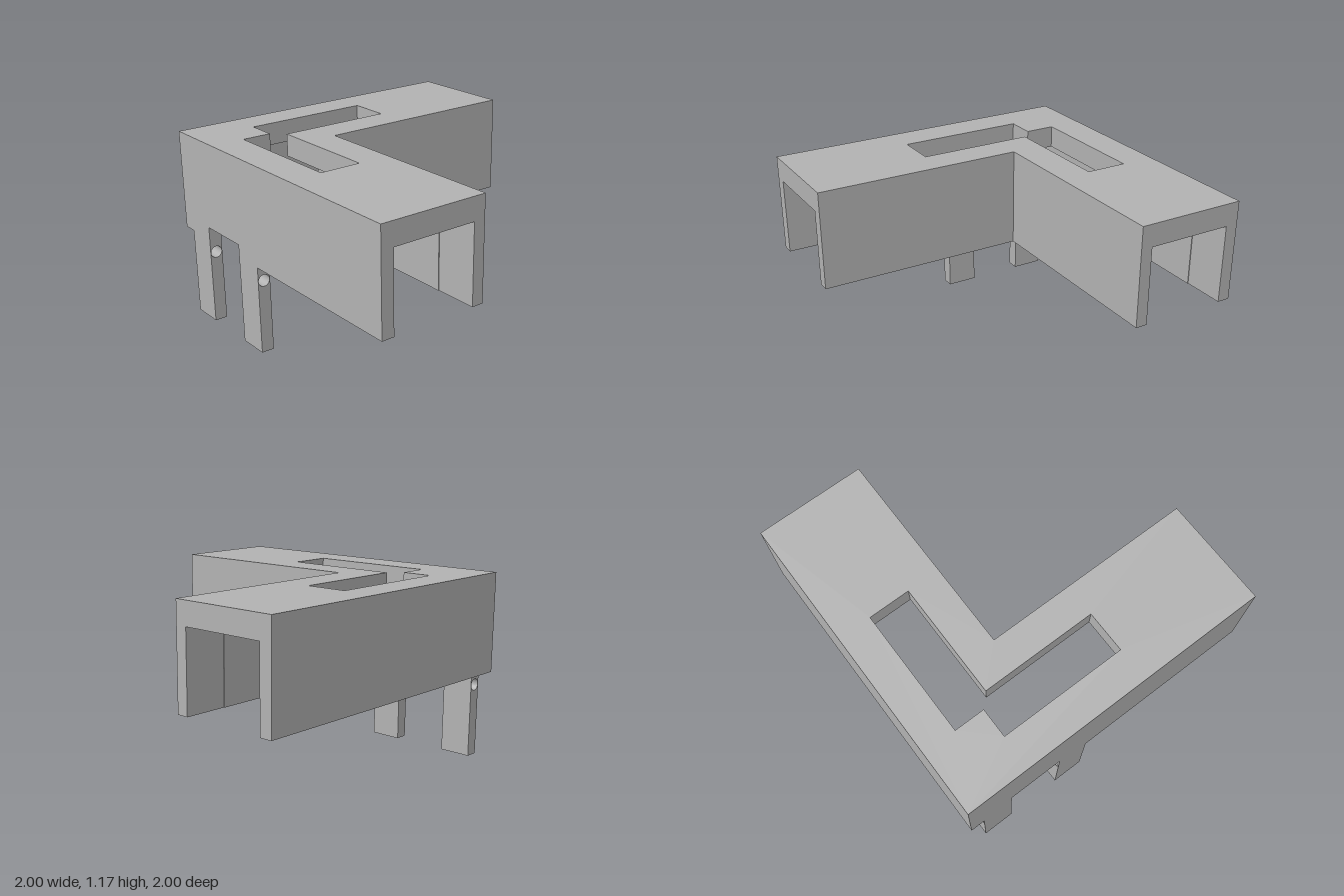
import * as THREE from 'three';

const BOTTOM = 0.55, NOTCH = 0.63, ROOF = 1.035, TOP = 1.175;

export function createModel() {
  const group = new THREE.Group();
  const grey = new THREE.MeshStandardMaterial({ color: 0xb2b2b2 });
  grey.name = 'plain grey';

  const add = (name, geometry) => {
    const mesh = new THREE.Mesh(geometry, grey);
    mesh.name = name;
    group.add(mesh);
  };
  const toPoints = (plan) => plan.map(([x, z]) => new THREE.Vector2(x, -z));

  // Raise a plan outline of [x, z] corners from y0 to y1
  const slab = (name, plan, y0, y1, hole) => {
    const shape = new THREE.Shape(toPoints(plan));
    if (hole) shape.holes.push(new THREE.Path(toPoints(hole)));
    const geometry = new THREE.ExtrudeGeometry(shape, { depth: y1 - y0, bevelEnabled: false });
    geometry.rotateX(-Math.PI / 2).translate(0, y0, 0);
    add(name, geometry);
  };

  // L-shaped top with a stepped L-shaped slot
  slab('topPlate',
    [[-1, 1], [1, 1], [1, 0.32], [-0.32, 0.32], [-0.32, -1], [-1, -1]],
    ROOF, TOP,
    [[-0.79, -0.2], [-0.53, -0.2], [-0.53, 0.525], [0.2, 0.525],
      [0.2, 0.785], [-0.6, 0.785], [-0.6, 0.6], [-0.79, 0.6]]);

  // Inner wall, a hair thinner near both open ends
  slab('innerWall',
    [[-0.32, -1], [-0.32, 0.32], [1, 0.32], [1, 0.393], [0.73, 0.393], [0.73, 0.397],
      [-0.397, 0.397], [-0.397, -0.73], [-0.393, -0.73], [-0.393, -1]],
    BOTTOM, ROOF);

  // Outer wall: full length above, interrupted by the notch below
  const sideEnd = [[-0.918, 0.918], [-0.918, -0.73], [-0.922, -0.73], [-0.922, -1], [-1, -1], [-1, 1]];
  const frontEnd = [[1, 1], [1, 0.922], [0.73, 0.922], [0.73, 0.918]];
  slab('outerWall', [...sideEnd, ...frontEnd], NOTCH, ROOF);
  slab('outerWallLowerSide', [...sideEnd, [-0.71, 1], [-0.71, 0.918]], BOTTOM, NOTCH);
  slab('outerWallLowerFront', [...frontEnd, [-0.36, 0.918], [-0.36, 1]], BOTTOM, NOTCH);

  // Two legs with a pin hole running sideways
  for (const rightEdge of [-0.71, -0.16]) {
    const side = new THREE.Shape();
    side.moveTo(0.92, 0).lineTo(1, 0).lineTo(1, BOTTOM).lineTo(0.92, BOTTOM).closePath();
    side.holes.push(new THREE.Path().absarc(0.96, 0.46, 0.037, 0, Math.PI * 2, true));
    const leg = new THREE.ExtrudeGeometry(side, { depth: 0.2, bevelEnabled: false, curveSegments: 24 });
    leg.rotateY(-Math.PI / 2).translate(rightEdge, 0, 0);
    add('leg', leg);
  }
  return group;
}
